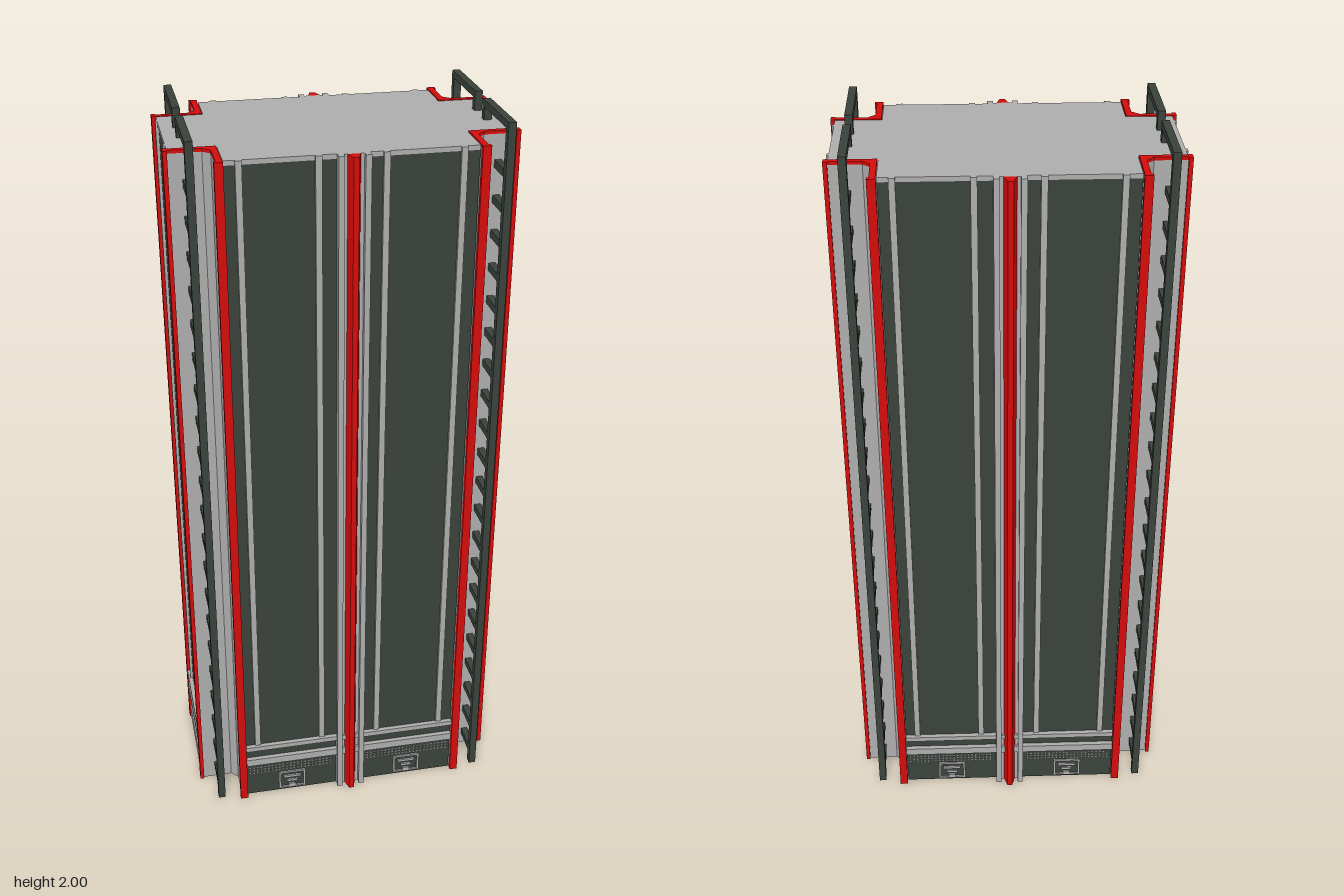
import * as THREE from 'three';
import { mergeGeometries } from 'three/addons/utils/BufferGeometryUtils.js';

const H = 1.95;
const mat = (name, color) => {
  const m = new THREE.MeshStandardMaterial({ color });
  m.name = name;
  return m;
};

export function createModel() {
  const root = new THREE.Group();
  root.name = 'tower';
  const dark = mat('dark panel', 0x3a423b);
  const grey = mat('grey metal', 0xadadad);
  const red = mat('red trim', 0xd40c0c);

  const add = (parent, name, geometry, material) => {
    const mesh = new THREE.Mesh(geometry, material);
    mesh.name = name;
    parent.add(mesh);
    return mesh;
  };
  // Box given by its min and max on each axis
  const span = (x0, x1, y0, y1, z0, z1) =>
    new THREE.BoxGeometry(x1 - x0, y1 - y0, z1 - z0)
      .translate((x0 + x1) / 2, (y0 + y1) / 2, (z0 + z1) / 2);
  // Plan outline of [x, z] points raised from y0 to y1
  const raise = (points, y0, y1) => {
    const shape = new THREE.Shape(points.map(([x, z]) => new THREE.Vector2(x, -z)));
    return new THREE.ExtrudeGeometry(shape, { depth: y1 - y0, bevelEnabled: false })
      .rotateX(-Math.PI / 2).translate(0, y0, 0);
  };

  // Cross-shaped roof
  add(root, 'roof', raise([
    [0.31, 0.25], [0.31, 0.14], [0.43, 0.14], [0.43, -0.14], [0.31, -0.14], [0.31, -0.25],
    [-0.31, -0.25], [-0.31, -0.14], [-0.43, -0.14], [-0.43, 0.14], [-0.31, 0.14], [-0.31, 0.25],
  ], H - 0.012, H), grey);

  // One hollow wall facing +z: panel, vertical ribs and horizontal bands
  const wall = (name, half, z, ribs) => {
    const g = new THREE.Group();
    g.name = name;
    root.add(g);
    add(g, 'mainPanel', span(-half, half, 0.0, H - 0.012, z - 0.012, z), dark);
    add(g, 'ribs', mergeGeometries(ribs.map(x => span(x - 0.008, x + 0.008, 0.19, H, z, z + 0.008))), grey);
    add(g, 'upperBand', span(-half, half, 0.172, 0.187, z, z + 0.013), grey);
    add(g, 'lowerBand', span(-half, half, 0.117, 0.14, z, z + 0.013), grey);
    return g;
  };
  // Rows of small perforations
  const dots = (g, x0, x1, z, y0, rows) => {
    const list = [];
    for (let r = 0; r < rows; r++)
      for (let x = x0; x <= x1; x += 0.011)
        list.push(span(x - 0.002, x + 0.002, y0 + r * 0.01, y0 + r * 0.01 + 0.004, z, z + 0.002));
    add(g, 'perforations', mergeGeometries(list), grey);
  };

  // Wide front and back walls
  for (const turn of [0, Math.PI]) {
    const g = wall('wideWall', 0.31, 0.25, [-0.275, -0.085, 0.08, 0.27]);
    g.rotation.y = turn;
    for (const s of [-1, 1]) {
      dots(g, s < 0 ? -0.3 : 0.055, s < 0 ? -0.055 : 0.3, 0.25, 0.077, 3);
      // Access hatch: frame with a small grid inside
      const c = s * 0.175;
      const hatch = [
        span(c - 0.04, c + 0.04, 0.064, 0.07, 0.25, 0.255),
        span(c - 0.04, c + 0.04, 0.008, 0.013, 0.25, 0.255),
        span(c - 0.04, c - 0.034, 0.008, 0.07, 0.25, 0.255),
        span(c + 0.034, c + 0.04, 0.008, 0.07, 0.25, 0.255),
        span(c - 0.026, c + 0.026, 0.046, 0.054, 0.25, 0.255),
        span(c - 0.016, c + 0.016, 0.03, 0.038, 0.25, 0.255),
        span(c - 0.01, c + 0.01, 0.013, 0.022, 0.25, 0.255),
      ];
      add(g, 'accessHatch', mergeGeometries(hatch), grey);
      add(g, 'centreChannel', span(s * 0.0325 - 0.0075, s * 0.0325 + 0.0075, 0, H, 0.25, 0.271), grey);
    }
    add(g, 'centrePlate', span(-0.03, 0.03, 0, H, 0.25, 0.256), grey);
    add(g, 'centreRail', raise([[-0.016, 0.256], [0.016, 0.256], [0.007, 0.285], [-0.007, 0.285]], 0, H), red);
  }

  // Narrow walls at the left and right ends
  for (const turn of [-1, 1]) {
    const g = wall('endWall', 0.137, 0.427, [-0.1, 0.1]);
    g.rotation.y = turn * Math.PI / 2;
    add(g, 'footPlate', span(-0.137, 0.137, 0, 0.043, 0.427, 0.437), grey);
    dots(g, -0.12, 0.12, 0.427, 0.077, 3);
  }

  // Four notched corners, each with trim and a ladder
  for (const sx of [-1, 1]) for (const sz of [-1, 1]) {
    const g = new THREE.Group();
    g.name = 'corner';
    root.add(g);
    const plan = points => points.map(([x, z]) => [x * sx, z * sz]);
    const mirrored = (x0, x1, y0, y1, z0, z1) => span(
      Math.min(x0 * sx, x1 * sx), Math.max(x0 * sx, x1 * sx), y0, y1,
      Math.min(z0 * sz, z1 * sz), Math.max(z0 * sz, z1 * sz));

    // Angled corner wall with a red cap on top
    const angle = plan([[0.312, 0.137], [0.43, 0.137], [0.43, 0.152], [0.347, 0.152],
      [0.328, 0.17], [0.328, 0.255], [0.312, 0.255]]);
    add(g, 'cornerWall', raise(angle, 0, H - 0.006), grey);
    add(g, 'cornerCap', raise(angle, H - 0.006, H + 0.002), red);
    add(g, 'wideEdgeTrim', mirrored(0.311, 0.333, 0, H + 0.002, 0.255, 0.267), red);
    add(g, 'endEdgeTrim', mirrored(0.43, 0.441, 0, H + 0.002, 0.136, 0.158), red);

    // Ladder with a hooked handrail over the roof
    const ladder = [
      mirrored(0.377, 0.397, 0, 2, 0.23, 0.25),
      mirrored(0.377, 0.397, 1.982, 2, 0.033, 0.23),
      mirrored(0.377, 0.397, H, 1.982, 0.033, 0.053),
    ];
    for (let i = 0; i < 21; i++) {
      const y = 0.045 + i * 0.0912;
      ladder.push(mirrored(0.378, 0.396, y - 0.01, y + 0.01, 0.15, 0.23));
    }
    add(g, 'ladder', mergeGeometries(ladder), dark);
  }
  return root;
}
